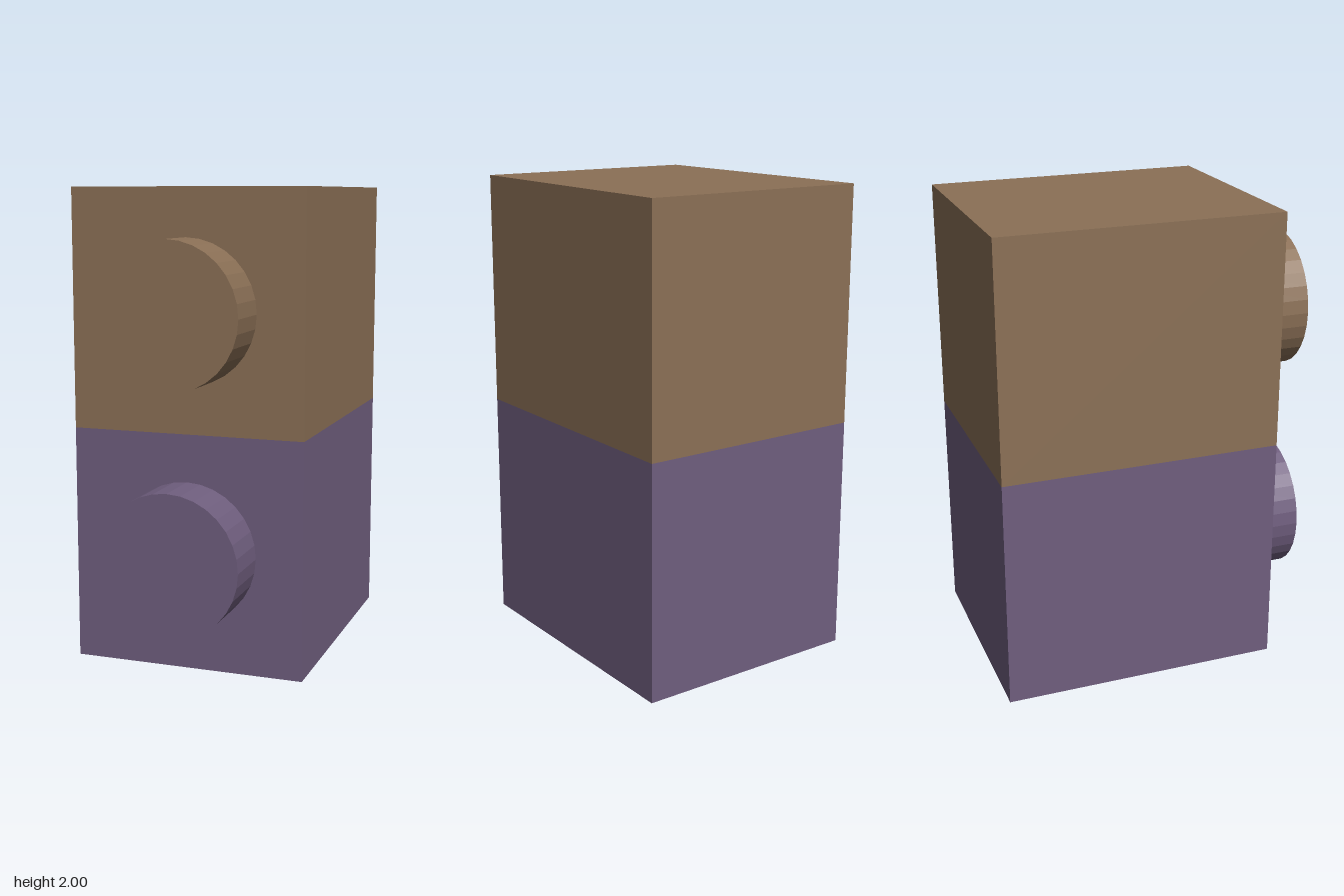
import * as THREE from 'three';

const WIDTH = 1, HEIGHT = 1, DEPTH = 1.2;
const KNOB_RADIUS = 0.3, KNOB_LENGTH = 0.225;
const BACK = -(DEPTH + KNOB_LENGTH) / 2;

// One block with a round knob on its front face
function createDrawer(name, color, y) {
  const material = new THREE.MeshStandardMaterial({ color, flatShading: true });
  const drawer = new THREE.Group();
  drawer.name = name;
  drawer.position.y = y;

  const body = new THREE.Mesh(new THREE.BoxGeometry(WIDTH, HEIGHT, DEPTH), material);
  body.name = 'body';
  body.position.set(0, HEIGHT / 2, BACK + DEPTH / 2);

  const knobGeometry = new THREE.CylinderGeometry(KNOB_RADIUS, KNOB_RADIUS, KNOB_LENGTH, 32);
  knobGeometry.rotateX(Math.PI / 2);
  const knob = new THREE.Mesh(knobGeometry, material);
  knob.name = 'knob';
  knob.position.set(0, HEIGHT / 2, BACK + DEPTH + KNOB_LENGTH / 2);

  drawer.add(body, knob);
  return drawer;
}

export function createModel() {
  const model = new THREE.Group();
  model.name = 'stackedDrawers';
  model.add(
    createDrawer('lowerDrawer', 0x6f5e7e, 0),
    createDrawer('upperDrawer', 0x8b7056, HEIGHT),
  );
  return model;
}
